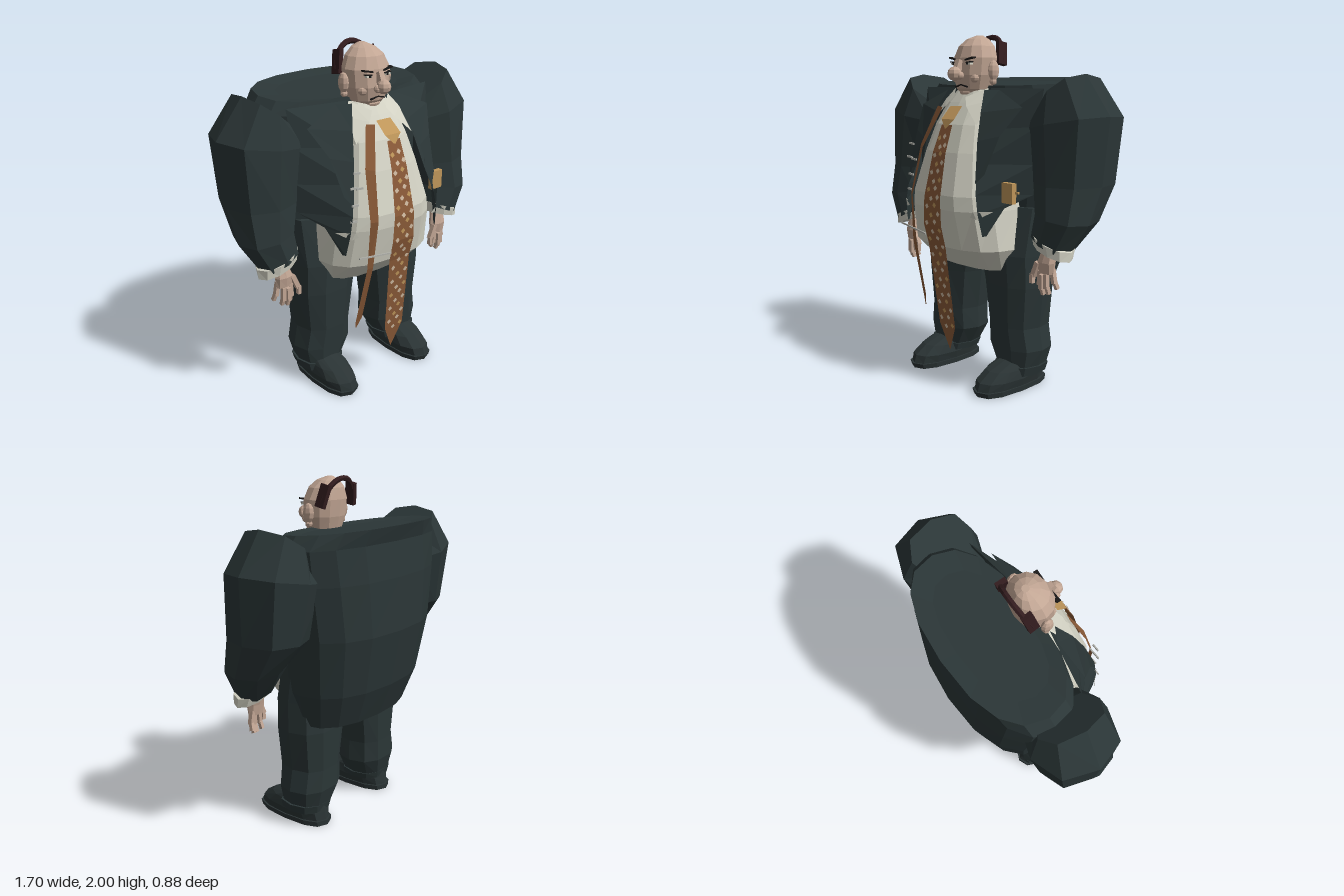
import * as THREE from 'three';

const mat = (name, color) => {
  const m = new THREE.MeshStandardMaterial({ color, flatShading: true, side: THREE.DoubleSide });
  m.name = name;
  return m;
};

// Faceted geometry with baked face normals
function flat(geo) {
  const g = geo.index ? geo.toNonIndexed() : geo;
  g.computeVertexNormals();
  return g;
}

// Closed skin through horizontal rings listed upward:
// [x, y, z, halfWidth, frontDepth, backDepth, rise per x, rise per z]
function loft(rings, sides = 12, power = 2) {
  const pos = [], idx = [], e = 2 / power;
  const sq = v => Math.sign(v) * Math.abs(v) ** e;
  for (const [x, y, z, w, f, b, sx = 0, sz = 0] of rings) {
    for (let i = 0; i < sides; i++) {
      const a = (i / sides) * Math.PI * 2;
      const dx = w * sq(Math.cos(a)), s = sq(Math.sin(a)), dz = s * (s > 0 ? f : b);
      pos.push(x + dx, y + sx * dx + sz * dz, z + dz);
    }
  }
  const n = rings.length;
  for (let r = 0; r < n - 1; r++) for (let i = 0; i < sides; i++) {
    const p = r * sides + i, q = r * sides + (i + 1) % sides;
    idx.push(p, p + sides, q, q, p + sides, q + sides);
  }
  [0, n - 1].forEach((r, k) => {
    const c = pos.length / 3;
    pos.push(rings[r][0], rings[r][1], rings[r][2]);
    for (let i = 0; i < sides; i++) {
      const p = r * sides + i, q = r * sides + (i + 1) % sides;
      k ? idx.push(c, q, p) : idx.push(c, p, q);
    }
  });
  const g = new THREE.BufferGeometry();
  g.setAttribute('position', new THREE.Float32BufferAttribute(pos, 3));
  g.setIndex(idx);
  return flat(g);
}

// Open cloth between pairs of edge points, listed downward: [ax,ay,az, bx,by,bz]
function cloth(rows) {
  const g = new THREE.BufferGeometry(), idx = [];
  g.setAttribute('position', new THREE.Float32BufferAttribute(rows.flat(), 3));
  for (let i = 0; i < rows.length - 1; i++) idx.push(2 * i, 2 * i + 2, 2 * i + 1, 2 * i + 1, 2 * i + 2, 2 * i + 3);
  g.setIndex(idx);
  return flat(g);
}

const box = (w, h, d, x, y, z, rz = 0, rx = 0) =>
  flat(new THREE.BoxGeometry(w, h, d).rotateX(rx).rotateZ(rz).translate(x, y, z));
const ball = (r, x, y, z, sx = 1, sy = 1, sz = 1) =>
  flat(new THREE.SphereGeometry(r, 8, 6).scale(sx, sy, sz).translate(x, y, z));

// Mirror across x, keeping faces outward
function mirror(geo) {
  const g = geo.clone().scale(-1, 1, 1), p = g.attributes.position;
  const a = new THREE.Vector3(), b = new THREE.Vector3();
  for (let i = 0; i < p.count; i += 3) {
    a.fromBufferAttribute(p, i + 1);
    b.fromBufferAttribute(p, i + 2);
    p.setXYZ(i + 1, b.x, b.y, b.z);
    p.setXYZ(i + 2, a.x, a.y, a.z);
  }
  g.computeVertexNormals();
  return g;
}

export function createModel() {
  const root = new THREE.Group();
  root.name = 'suitedMan';
  const suit = mat('suit', 0x2b3637), shirt = mat('shirt', 0xd3d2c4), skin = mat('skin', 0xc2a694);
  const tie = mat('tie', 0x8a5a38), gold = mat('gold', 0xbf965a), pale = mat('paleDots', 0xcdb89f);
  const hair = mat('hair', 0x321c1e), black = mat('black', 0x191717), grey = mat('grey', 0xb2b2ac);
  const shoe = mat('shoe', 0x2a3334);
  const add = (name, geo, m) => {
    const mesh = new THREE.Mesh(geo, m);
    mesh.name = name;
    root.add(mesh);
  };
  const pair = (name, geo, m) => {
    add(name + 'Left', geo, m);
    add(name + 'Right', mirror(geo), m);
  };

  // Jacket body, hunched back with a rimmed top
  add('jacketBody', loft([
    [0, .65, -.08, .41, .16, .22], [0, .85, -.1, .47, .21, .28], [0, 1.18, -.12, .52, .24, .32],
    [0, 1.48, -.13, .57, .25, .3], [0, 1.66, -.14, .59, .27, .265, 0, -.05],
    [0, 1.735, -.15, .53, .265, .28, 0, -.09], [0, 1.72, -.14, .4, .2, .2, 0, -.09],
  ], 16, 2.4), suit);

  // Shirt over the belly
  add('shirtBelly', loft([
    [0, .69, .08, .3, .16, .06], [0, .82, .1, .365, .28, .1], [0, 1.04, .1, .345, .325, .1],
    [0, 1.12, .1, .33, .325, .1], [0, 1.35, .1, .265, .26, .1], [0, 1.5, .1, .22, .2, .1],
    [0, 1.62, .1, .18, .12, .08], [0, 1.69, .1, .12, .07, .07],
  ], 16, 2.7), shirt);
  pair('shirtCollar', cloth([[.05, 1.65, .22, .14, 1.7, .13], [.09, 1.6, .25, .19, 1.63, .17], [.2, 1.5, .27, .205, 1.5, .25]]), shirt);
  pair('shirtTuft', cloth([[.27, 1.02, .38, .3, 1.055, .385], [.31, 1.01, .37, .38, 1.055, .31]]), shirt);

  // Open jacket fronts with lapels
  pair('jacketFront', cloth([
    [.15, 1.7, .12, .5, 1.7, .06], [.23, 1.48, .25, .49, 1.5, .1], [.255, 1.3, .32, .49, 1.3, .12],
    [.3, 1.14, .365, .49, 1.14, .12], [.32, 1.04, .37, .4, 1.07, .25], [.335, .92, .35, .345, .92, .33],
  ]), suit);
  pair('lapel', cloth([
    [.14, 1.69, .16, .22, 1.69, .12], [.2, 1.57, .24, .43, 1.6, .15], [.24, 1.42, .3, .36, 1.45, .25],
    [.29, 1.2, .36, .33, 1.25, .33],
  ]), suit);

  // Sleeves, cuffs
  pair('sleeve', loft([
    [.605, .89, .09, .11, .11, .11, -.42], [.655, 1.03, .04, .155, .16, .17, -.15], [.635, 1.2, -.04, .19, .22, .22],
    [.605, 1.52, -.06, .245, .23, .25, .17], [.575, 1.69, -.05, .115, .17, .2, .75],
  ], 8, 2.4), suit);
  pair('cuff', loft([[.62, .85, .105, .12, .085, .085, -.32], [.615, .91, .095, .125, .105, .1, -.38]], 10), shirt);

  // Hands with slightly spread fingers
  pair('palm', loft([[.59, .73, .12, .05, .025, .025], [.59, .79, .12, .055, .035, .035], [.6, .87, .1, .04, .035, .035]], 8, 2.5), skin);
  [[.555, .67, .13, -.06], [.58, .655, .145, -.02], [.605, .66, .135, .04], [.632, .69, .11, .2]].forEach(([x, y, z, r], i) => {
    pair('finger' + (i + 1), box(.023, .08, .026, x, y + .03, z, r), skin);
    pair('fingertip' + (i + 1), box(.019, .045, .022, x + Math.sin(r) * .05, y - .02, z - .01, r, .3), skin);
  });
  pair('thumb', box(.027, .09, .028, .53, .745, .14, -.4), skin);
  pair('thumbTip', box(.022, .05, .024, .51, .69, .145), skin);

  // Trousers and shoes
  pair('trouserLeg', loft([
    [.295, .1, .01, .125, .13, .13], [.275, .23, .0, .18, .15, .155], [.265, .36, .0, .165, .16, .155],
    [.26, .6, 0, .195, .17, .165], [.235, .78, 0, .22, .17, .16], [.235, 1.05, -.04, .22, .15, .12],
  ], 10, 2.5), suit);
  pair('trouserHem', loft([[.295, .085, .02, .135, .13, .14], [.295, .13, .01, .148, .14, .14, .04]], 10, 2.5), suit);
  pair('shoeSole', loft([[.295, 0, .1, .105, .25, .25], [.295, .03, .1, .108, .26, .25]], 12, 2.6), shoe);
  pair('shoeUpper', loft([
    [.295, .03, .1, .1, .25, .24], [.295, .075, .1, .11, .235, .23], [.295, .125, .08, .1, .18, .2], [.295, .165, .02, .085, .12, .12],
  ], 12, 2.4), shoe);

  // Head
  add('neck', loft([[0, 1.58, .09, .1, .07, .08], [0, 1.7, .09, .09, .08, .07]], 10), skin);
  add('head', loft([
    [0, 1.655, .11, .075, .06, .06], [0, 1.695, .11, .11, .095, .09], [0, 1.77, .1, .135, .125, .1],
    [0, 1.865, .1, .14, .115, .11], [0, 1.93, .09, .11, .1, .09], [0, 1.97, .08, .065, .065, .06], [0, 1.99, .07, .02, .02, .02],
  ], 12, 2.1), skin);
  pair('ear', ball(.045, .15, 1.795, .1, .55, 1.25, .8), skin);
  pair('earLobe', ball(.02, .146, 1.735, .1), skin);
  add('noseBridge', box(.034, .08, .06, 0, 1.81, .222, 0, -.4), skin);
  add('noseTip', ball(.04, 0, 1.778, .257), skin);
  pair('nostril', ball(.022, .03, 1.768, .242), skin);
  pair('cheek', ball(.035, .075, 1.755, .175, 1, .8, .8), skin);
  add('chin', ball(.04, 0, 1.675, .165, 1.3, .6, .8), skin);
  pair('brow', box(.068, .009, .024, .068, 1.86, .2, .2), black);
  pair('eyeWhite', box(.036, .01, .02, .065, 1.832, .204, .08), shirt);
  pair('pupil', box(.012, .011, .008, .06, 1.832, .214), black);
  pair('eyelid', box(.045, .006, .022, .066, 1.841, .204, .1), black);
  pair('mouth', box(.05, .007, .012, .024, 1.712, .206, -.25), black);

  // Fringe of hair arching over the back of the head
  const arc = [];
  for (let i = 0; i <= 10; i++) {
    const a = (i / 10) * Math.PI;
    arc.push(new THREE.Vector3(.132 * Math.cos(a), 1.83 + .154 * Math.sin(a), .03 - .055 * Math.sin(a)));
  }
  add('hairBand', flat(new THREE.TubeGeometry(new THREE.CatmullRomCurve3(arc), 14, .016, 6)), hair);
  pair('sideHair', box(.028, .13, .06, .122, 1.89, .015, .22, -.2), hair);

  // Tie: knot, hanging blade with diamonds, and a loose tail
  const blade = [[1.5, .325, .015, .045], [1.35, .38, .012, .055], [1.1, .433, .01, .07], [.95, .432, .008, .078],
    [.82, .4, .01, .075], [.35, .345, .027, .068], [.2, .325, .025, .001]];
  add('tieBlade', cloth(blade.map(([y, z, x, w]) => [x - w, y, z, x + w, y, z])), tie);
  add('tieKnot', cloth([[-.045, 1.6, .25, .055, 1.6, .25], [-.04, 1.53, .32, .07, 1.53, .32], [.01, 1.48, .338, .02, 1.48, .338]]), gold);
  add('looseTail', cloth([
    [-.135, 1.6, .27, -.08, 1.59, .28], [-.2, 1.38, .345, -.15, 1.37, .37], [-.215, 1.1, .41, -.175, 1.1, .43],
    [-.222, .82, .395, -.185, .82, .4], [-.235, .45, .31, -.2, .48, .325], [-.232, .41, .305, -.226, .41, .305],
  ]), tie);
  for (let i = 0; i < 24; i++) {
    const y = 1.43 - i * .047, k = blade.findIndex(b => b[0] <= y);
    const [y0, z0, x0, w0] = blade[k - 1], [y1, z1, x1, w1] = blade[k], t = (y0 - y) / (y0 - y1);
    const w = w0 + (w1 - w0) * t, z = z0 + (z1 - z0) * t + .003, lean = Math.atan2(z1 - z0, y1 - y0);
    const cols = i % 2 ? [-.1, .7] : [-.6, .3];
    cols.forEach((c, j) => {
      const g = new THREE.PlaneGeometry(.023, .023).rotateZ(.6 + j * .3).rotateX(Math.atan(Math.tan(lean)))
        .translate(x0 + (x1 - x0) * t + c * w, y + (j ? .008 : -.004), z);
      add('tieDiamond', flat(g), (i + j) % 3 ? pale : gold);
    });
  }

  // Pocket badge, stray pins
  add('badge', box(.08, .11, .03, .43, 1.155, .245), gold);
  add('badgePin', box(.03, .012, .012, .478, 1.16, .235), gold);
  add('longPin', box(.23, .009, .006, -.185, .9, .42, -.14), grey);
  [[-.27, 1.38], [-.25, 1.29], [-.29, 1.3], [-.28, 1.2], [-.29, 1.11]].forEach(([x, y]) =>
    add('shortPin', box(.045, .011, .008, x, y, .36, -.1), grey));
  return root;
}
